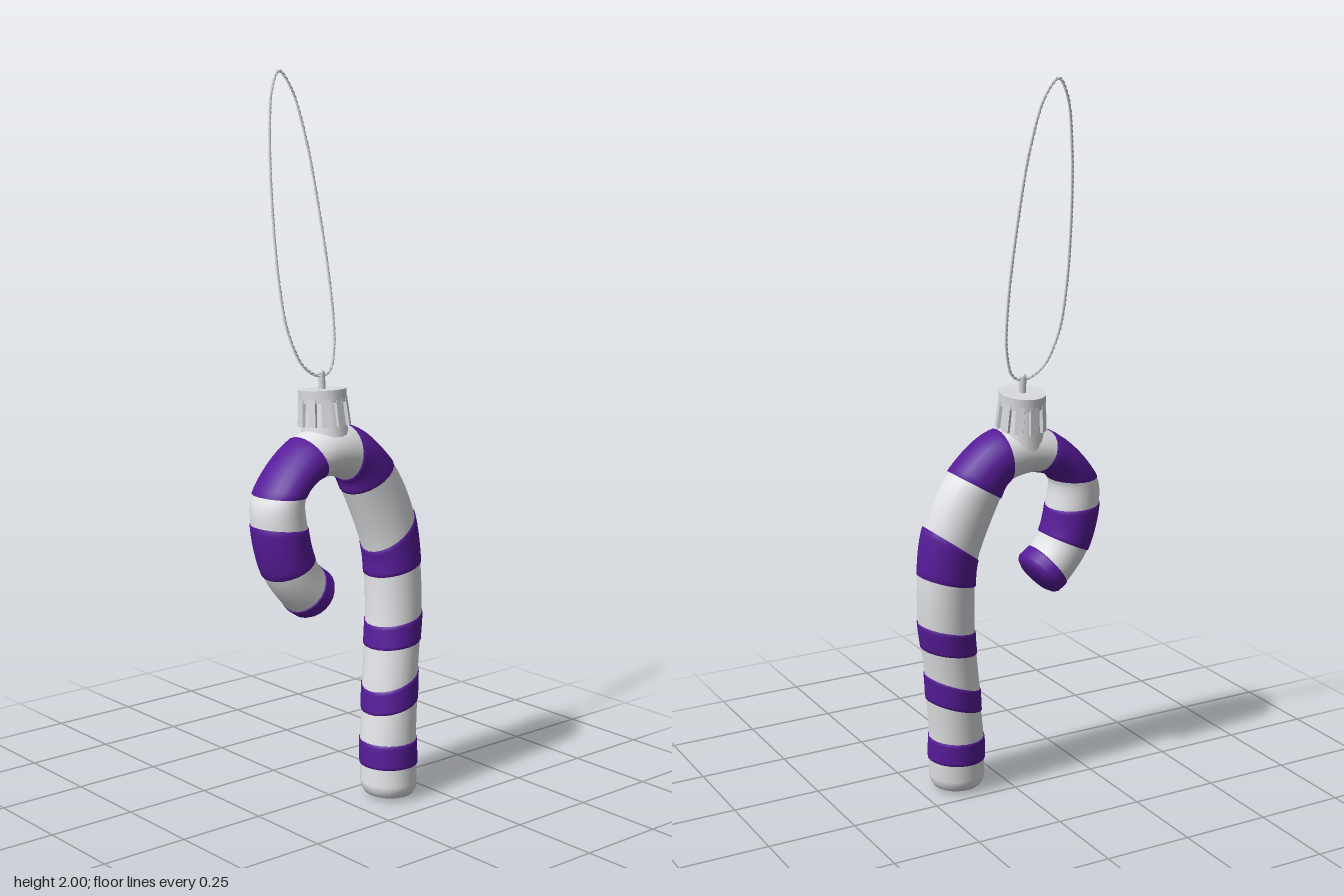
import * as THREE from 'three';

const white = new THREE.MeshStandardMaterial({ color: 0xe6e7ea });
white.name = 'white';
const purple = new THREE.MeshStandardMaterial({ color: 0x581c9a });
purple.name = 'purple';
const silver = new THREE.MeshStandardMaterial({ color: 0xd8dade });
silver.name = 'silver';

// Stripe boundaries from foot to tip: inner x, y and outer x, y of each cut.
const cuts = [
  [0.058, 0.04, 0.215, 0.038], [0.062, 0.095, 0.219, 0.098], [0.066, 0.162, 0.22, 0.165],
  [0.078, 0.243, 0.232, 0.285], [0.084, 0.306, 0.24, 0.362], [0.1, 0.424, 0.253, 0.445],
  [0.107, 0.487, 0.265, 0.52], [0.112, 0.625, 0.27, 0.665], [0.107, 0.695, 0.255, 0.803],
  [0.045, 0.865, 0.184, 0.95], [0.027, 0.905, 0.05, 1.055], [-0.067, 0.923, -0.112, 1.035],
  [-0.128, 0.89, -0.257, 0.895], [-0.126, 0.805, -0.272, 0.815], [-0.111, 0.732, -0.242, 0.672],
  [-0.086, 0.692, -0.172, 0.577], [-0.058, 0.67, -0.148, 0.559],
];
const inner = new THREE.CatmullRomCurve3(cuts.map(c => new THREE.Vector3(c[0], c[1], 0)));
const outer = new THREE.CatmullRomCurve3(cuts.map(c => new THREE.Vector3(c[2], c[3], 0)));
const last = cuts.length - 1;
const leanZ = y => 0.1 - 0.085 * y;
const SIDES = 22;
const DEPTH = 0.082;

// Skin over a list of rings [position in cuts, scale, push along the cane].
function skin(rings) {
  const pos = [], index = [];
  rings.forEach(([u, scale, push], i) => {
    const a = inner.getPoint(u / last), b = outer.getPoint(u / last);
    const mid = a.clone().add(b).multiplyScalar(0.5);
    const half = b.sub(a).multiplyScalar(0.5);
    const along = new THREE.Vector3(-half.y, half.x, 0).normalize();
    mid.addScaledVector(along, push);
    for (let j = 0; j < SIDES; j++) {
      const t = (j / SIDES) * Math.PI * 2;
      const x = mid.x + half.x * Math.cos(t) * scale;
      const y = mid.y + half.y * Math.cos(t) * scale;
      pos.push(x, y, leanZ(y) + DEPTH * Math.sin(t) * scale);
      if (i < rings.length - 1) {
        const p = i * SIDES + j, q = i * SIDES + (j + 1) % SIDES;
        index.push(p, p + SIDES, q, q, p + SIDES, q + SIDES);
      }
    }
  });
  const g = new THREE.BufferGeometry();
  g.setAttribute('position', new THREE.Float32BufferAttribute(pos, 3));
  g.setIndex(index);
  g.computeVertexNormals();
  return g;
}

function add(parent, name, geometry, material) {
  const mesh = new THREE.Mesh(geometry, material);
  mesh.name = name;
  parent.add(mesh);
  return mesh;
}

function buildCane() {
  const cane = new THREE.Group();
  cane.name = 'cane';
  for (let k = 0; k < last; k++) {
    const isPurple = k % 2 === 1;
    const rings = [];
    for (let s = 0; s <= 8; s++) rings.push([k + s / 8, isPurple ? 1.03 : 0.995, 0]);
    // Raised purple stripes get a small step at each edge
    if (isPurple) {
      rings.unshift([k, 0.97, 0]);
      rings.push([k + 1, 0.97, 0]);
    }
    // Rounded foot and tip
    if (k === 0) rings.unshift([0, 0, -0.036], [0, 0.6, -0.034], [0, 0.85, -0.026], [0, 0.95, -0.013]);
    if (k === last - 1) {
      rings.pop();
      rings.push([last, 0.93, 0.01], [last, 0.7, 0.018], [last, 0, 0.022]);
    }
    add(cane, isPurple ? 'purpleStripe' : 'whiteStripe', skin(rings), isPurple ? purple : white);
  }
  return cane;
}

function buildCap() {
  const cap = new THREE.Group();
  cap.name = 'cap';
  cap.position.set(-0.018, 1.02, 0.005);
  cap.rotation.x = -0.09;
  const crown = new THREE.Group();
  crown.name = 'crown';
  crown.scale.z = 1.13;
  cap.add(crown);
  // Neck flaring into the top of the cane
  add(crown, 'neck', new THREE.CylinderGeometry(0.053, 0.064, 0.11, 20), white).position.y = 0.045;
  // Lid with a ring of hanging prongs
  add(crown, 'lid', new THREE.CylinderGeometry(0.062, 0.062, 0.034, 20), silver).position.y = 0.119;
  const COUNT = 10;
  for (let i = 0; i < COUNT; i++) {
    const spoke = new THREE.Group();
    spoke.name = 'prong';
    spoke.rotation.y = (i / COUNT) * Math.PI * 2;
    const prong = add(spoke, 'prongPlate', new THREE.BoxGeometry(0.023, 0.075, 0.009), silver);
    prong.position.set(0, 0.075, 0.06);
    prong.rotation.x = -0.08;
    crown.add(spoke);
  }
  // Pin that holds the cord
  add(cap, 'pin', new THREE.CapsuleGeometry(0.0095, 0.048, 4, 10), silver).position.set(0, 0.155, 0);
  return cap;
}

// Twisted two-strand hanging loop
function buildCord() {
  const loop = new THREE.Group();
  loop.name = 'hangingCord';
  const outline = [
    [-0.02, 1.19], [-0.075, 1.22], [-0.112, 1.31], [-0.121, 1.43], [-0.111, 1.63], [-0.088, 1.82],
    [-0.058, 1.95], [-0.026, 1.996], [0.008, 1.95], [0.034, 1.83], [0.048, 1.65], [0.052, 1.4],
    [0.04, 1.27], [0.015, 1.205],
  ];
  const path = new THREE.CatmullRomCurve3(
    outline.map(([x, y]) => new THREE.Vector3(x, y, -0.01 - 0.207 * (y - 1.19))), true);
  const N = 640, TWISTS = 64;
  const side = new THREE.Vector3(), normal = new THREE.Vector3(0, 0.203, 0.979);
  for (let s = 0; s < 2; s++) {
    const pts = [];
    for (let i = 0; i < N; i++) {
      const p = path.getPointAt(i / N);
      side.crossVectors(path.getTangentAt(i / N), normal).normalize();
      const a = (i / N) * TWISTS * Math.PI * 2 + s * Math.PI;
      pts.push(p.addScaledVector(side, 0.0018 * Math.cos(a)).addScaledVector(normal, 0.0018 * Math.sin(a)));
    }
    const strand = new THREE.CatmullRomCurve3(pts, true);
    add(loop, 'cordStrand', new THREE.TubeGeometry(strand, N, 0.0026, 6, true), silver);
  }
  return loop;
}

export function createModel() {
  const model = new THREE.Group();
  model.name = 'caneOrnament';
  model.add(buildCane(), buildCap(), buildCord());
  return model;
}
